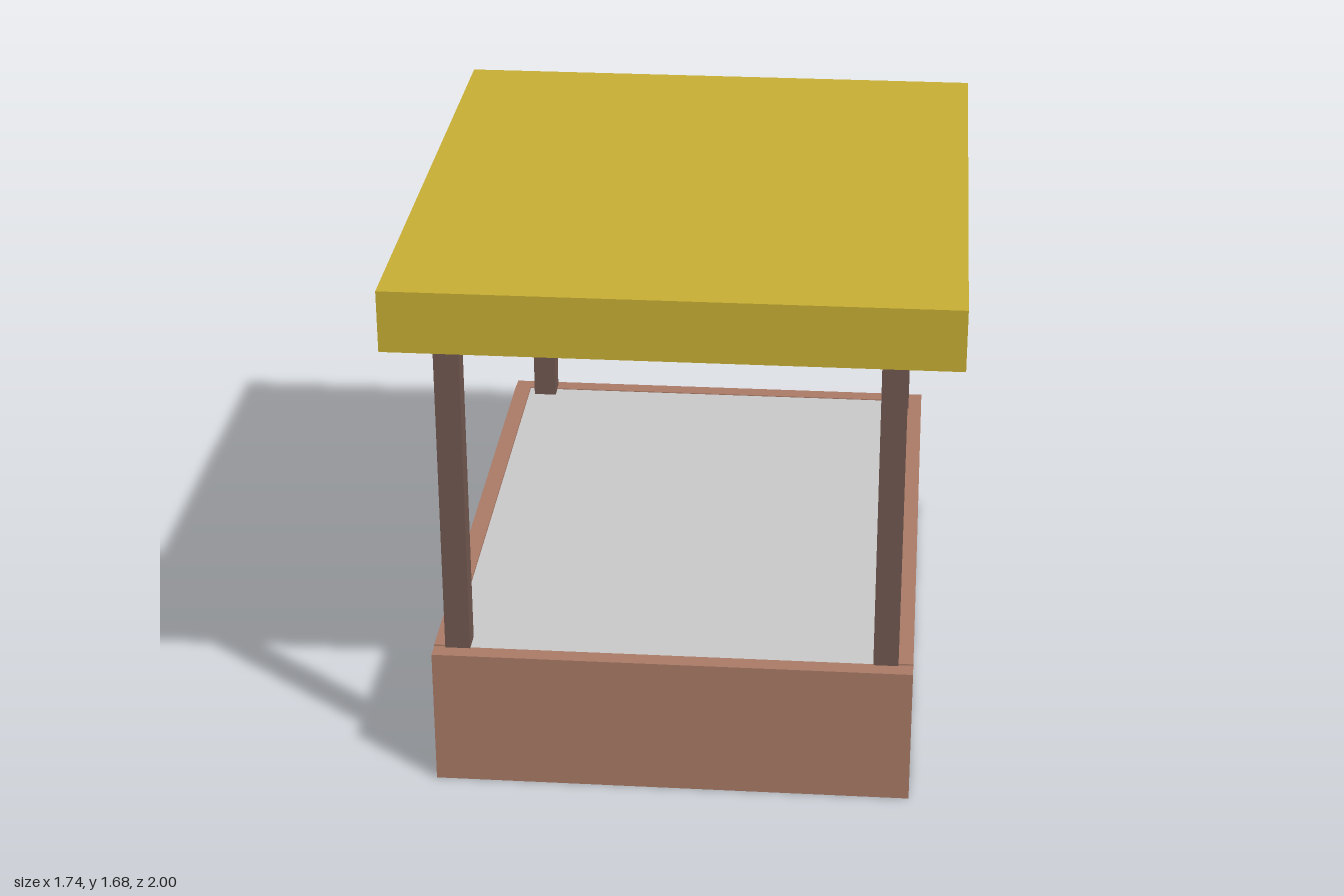
import * as THREE from 'three';

const material = (name, color) => {
  const m = new THREE.MeshStandardMaterial({ color });
  m.name = name;
  return m;
};

// Box from its minimum and maximum corners
function block(name, mat, [x0, y0, z0], [x1, y1, z1]) {
  const geometry = new THREE.BoxGeometry(x1 - x0, y1 - y0, z1 - z0);
  const mesh = new THREE.Mesh(geometry, mat);
  mesh.position.set((x0 + x1) / 2, (y0 + y1) / 2, (z0 + z1) / 2);
  mesh.name = name;
  return mesh;
}

export function createModel() {
  const clay = material('clay brown', 0xaa7b67);
  const wood = material('dark wood', 0x725850);
  const roofYellow = material('mustard yellow', 0xc9af34);
  const stone = material('light grey', 0xcacaca);

  const model = new THREE.Group();
  model.name = 'pavilion';

  // Low walls: end walls run the full width, side walls fit between them
  const W = 0.75, D = 1, T = 0.055;
  const walls = new THREE.Group();
  walls.name = 'baseWalls';
  walls.add(
    block('frontWall', clay, [-W, 0, D - T], [W, 0.453, D]),
    block('backWall', clay, [-W, 0, -D], [W, 0.453, -D + T]),
    block('leftWall', clay, [W - T, 0, -D + T], [W, 0.458, D - T]),
    block('rightWall', clay, [-W, 0, -D + T], [-W + T, 0.458, D - T])
  );
  model.add(walls);

  // Floor slab filling the walls, recessed underneath
  model.add(block('floor', stone, [-W + T, 0.07, -D + T], [W - T, 0.45, D - T]));

  // Four posts; the back right one stands slightly out of line
  const posts = [
    ['frontLeftPost', 0.665, 0.912],
    ['frontRightPost', -0.675, 0.912],
    ['backLeftPost', 0.665, -0.908],
    ['backRightPost', -0.635, -0.936],
  ];
  const h = 0.039;
  for (const [name, x, z] of posts) {
    model.add(block(name, wood, [x - h, 0.045, z - h], [x + h, 1.5, z + h]));
  }

  // Flat roof slab
  model.add(block('roof', roofYellow, [-0.872, 1.48, -0.983], [0.872, 1.677, 0.979]));

  return model;
}
